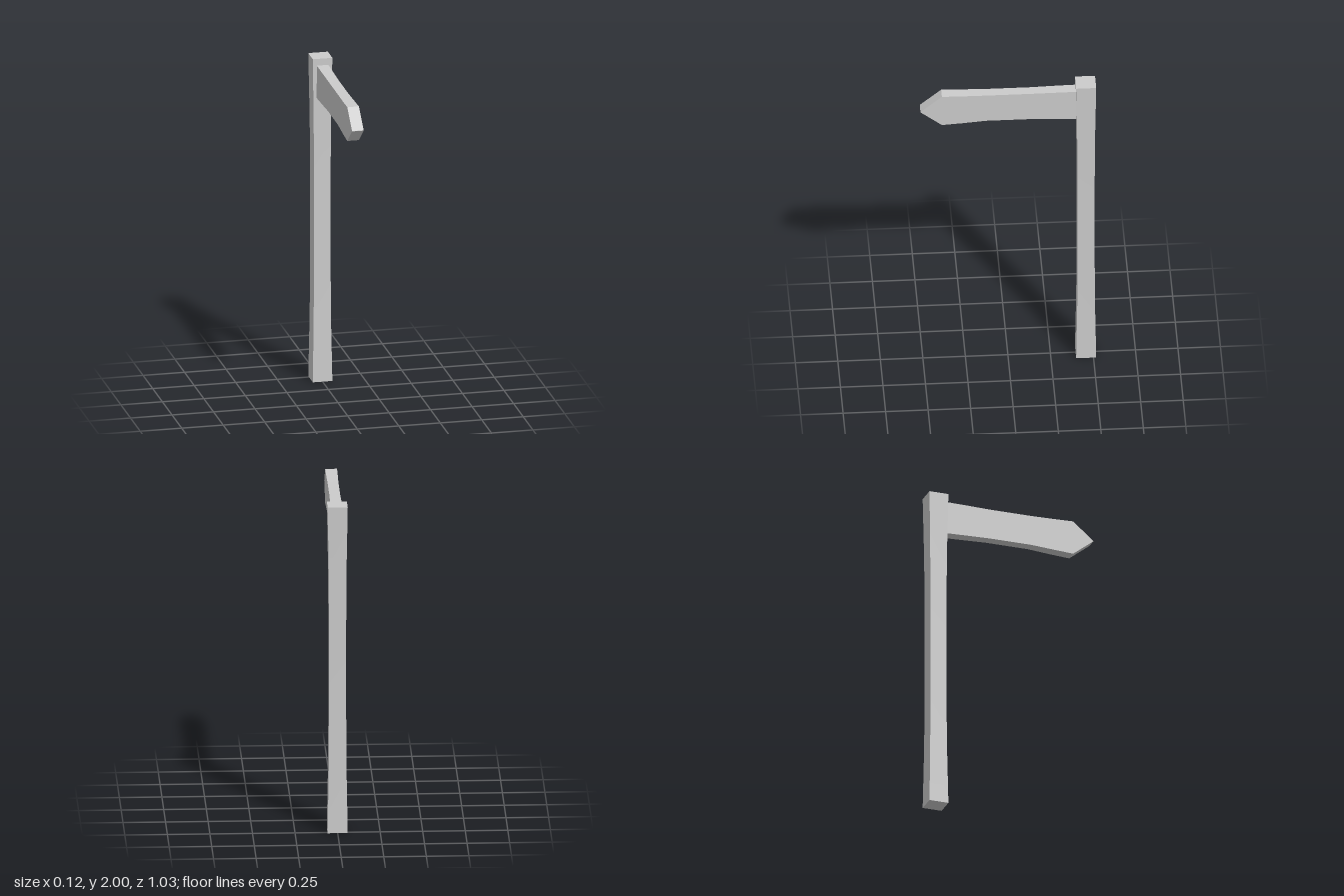
import * as THREE from 'three';
import { toCreasedNormals } from 'three/addons/utils/BufferGeometryUtils.js';

const material = new THREE.MeshStandardMaterial({ color: 0xcccccc });

// Box beam along z whose cross-sections follow [z, halfWidth, bottom, top]
function beam(name, sections) {
  const n = sections.length - 1;
  const geo = new THREE.BoxGeometry(1, 1, 1, 1, 1, n);
  const p = geo.attributes.position;
  for (let i = 0; i < p.count; i++) {
    const [z, half, bottom, top] = sections[Math.round((p.getZ(i) + 0.5) * n)];
    p.setXYZ(i, Math.sign(p.getX(i)) * half, p.getY(i) > 0 ? top : bottom, z);
  }
  const mesh = new THREE.Mesh(toCreasedNormals(geo, 0.5), material);
  mesh.name = name;
  return mesh;
}

export function createModel() {
  const group = new THREE.Group();
  group.name = 'signpost';

  // Square post, slightly waisted between its flared ends
  const post = beam('post', [
    [0, 0.059], [0.4, 0.052], [0.8, 0.05], [1.2, 0.05], [1.6, 0.052], [2, 0.059],
  ].map(([y, half]) => [y, half, -half, half]));
  post.rotation.x = -Math.PI / 2;
  post.position.z = -0.457;
  group.add(post);

  // Waisted board ending in an arrow point
  group.add(beam('arrowBoard', [
    [-0.45, 0.035, 1.755, 1.959],
    [-0.29, 0.034, 1.761, 1.957],
    [-0.13, 0.032, 1.767, 1.954],
    [0.13, 0.032, 1.767, 1.954],
    [0.27, 0.034, 1.757, 1.956],
    [0.39, 0.035, 1.75, 1.959],
    [0.516, 0.035, 1.85, 1.852],
  ]));

  return group;
}
